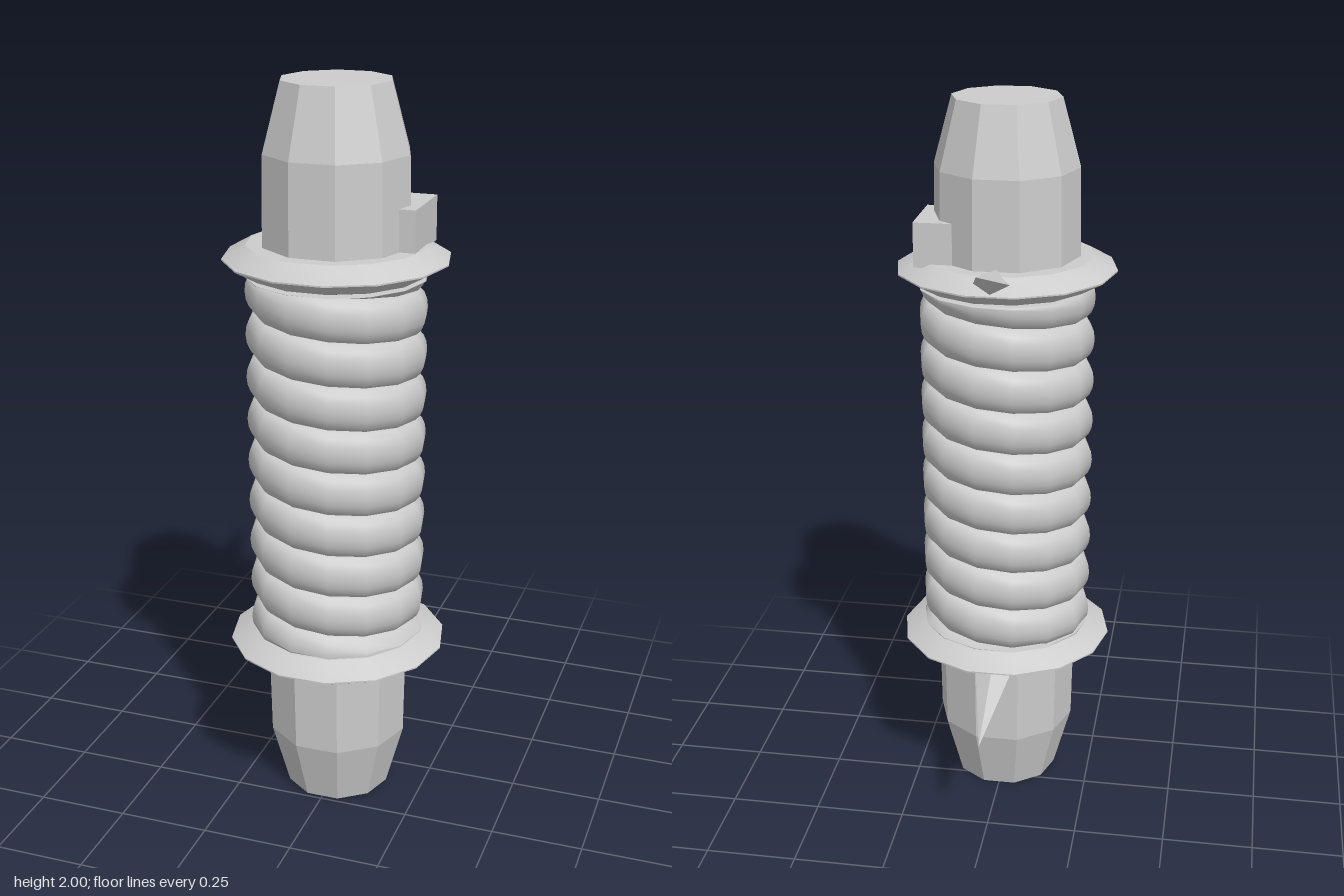
import * as THREE from 'three';
import { toCreasedNormals } from 'three/addons/utils/BufferGeometryUtils.js';

const AXIS_Z = 0.098; // the handle's axis sits forward of the centre

export function createModel() {
  const model = new THREE.Group();
  model.name = 'hilt';
  const grey = new THREE.MeshStandardMaterial({ color: 0xcccccc });
  grey.name = 'plain grey';

  function add(name, geometry, x = 0, y = 0, z = AXIS_Z) {
    const mesh = new THREE.Mesh(geometry, grey);
    mesh.name = name;
    mesh.position.set(x, y, z);
    model.add(mesh);
    return mesh;
  }

  // Many-sided turned part with a corner on the x axis
  function turned(profile, sides, crease) {
    const points = profile.map(([r, y]) => new THREE.Vector2(r, y));
    const lathe = new THREE.LatheGeometry(points, sides, Math.PI / sides);
    return toCreasedNormals(lathe, crease);
  }

  // Tapered ends
  add('upperEnd', turned([[0, 1.54], [0.2, 1.54], [0.195, 1.82], [0.146, 2], [0, 2]], 10, 0.1));
  add('lowerEnd', turned([[0, 0], [0.146, 0], [0.195, 0.18], [0.2, 0.46], [0, 0.46]], 10, 0.1));

  // Bevelled guards
  const guardProfile = [[0, -0.037], [0.237, -0.037], [0.299, -0.002], [0.299, 0.002], [0.237, 0.037], [0, 0.037]];
  add('upperGuard', turned(guardProfile, 14, 0.47), 0, 1.546);
  add('lowerGuard', turned(guardProfile, 14, 0.47), 0, 0.458);

  // Grip: a rounded cord wound down between the guards
  add('woundGrip', woundCord());

  // Button on the left side
  add('button', new THREE.BoxGeometry(0.103, 0.12, 0.195), 0.1735, 1.633, 0.05);

  // Rear spikes, leaning away from the grip
  for (const [name, y, lean] of [['upperSpike', 1.545, 1], ['lowerSpike', 0.455, -1]]) {
    add(name, spike(lean), 0, y, -0.09);
  }
  return model;
}

function woundCord() {
  const sides = 14, arc = 8, pitch = 0.1175, turns = 5;
  const positions = [], index = [];
  for (let i = 0; i <= sides * turns * 2; i++) {
    const turn = i / sides - turns;
    const t = turn * Math.PI * 2;
    for (let j = 0; j <= arc; j++) {
      const a = (j / arc) * Math.PI;
      const r = 0.205 + 0.036 * Math.sin(a);
      const y = 1 - pitch * turn - (pitch / 2) * Math.cos(a);
      positions.push(-r * Math.cos(t), THREE.MathUtils.clamp(y, 0.5, 1.5), r * Math.sin(t));
      if (i > 0 && j > 0) {
        const c = i * (arc + 1) + j, d = c - arc - 1;
        index.push(d - 1, c - 1, d, c - 1, c, d);
      }
    }
  }
  const g = new THREE.BufferGeometry();
  g.setAttribute('position', new THREE.Float32BufferAttribute(positions, 3));
  g.setIndex(index);
  g.computeVertexNormals();
  return g;
}

// Four-sided spike pointing back, sheared up or down by its lean
function spike(lean) {
  const cone = new THREE.ConeGeometry(1, 0.3, 4);
  cone.translate(0, 0.15, 0).rotateX(-Math.PI / 2).scale(0.061, 0.044, 1);
  const p = cone.attributes.position;
  for (let i = 0; i < p.count; i++) p.setY(i, p.getY(i) - p.getZ(i) * 0.367 * lean);
  return toCreasedNormals(cone, 0.1);
}
